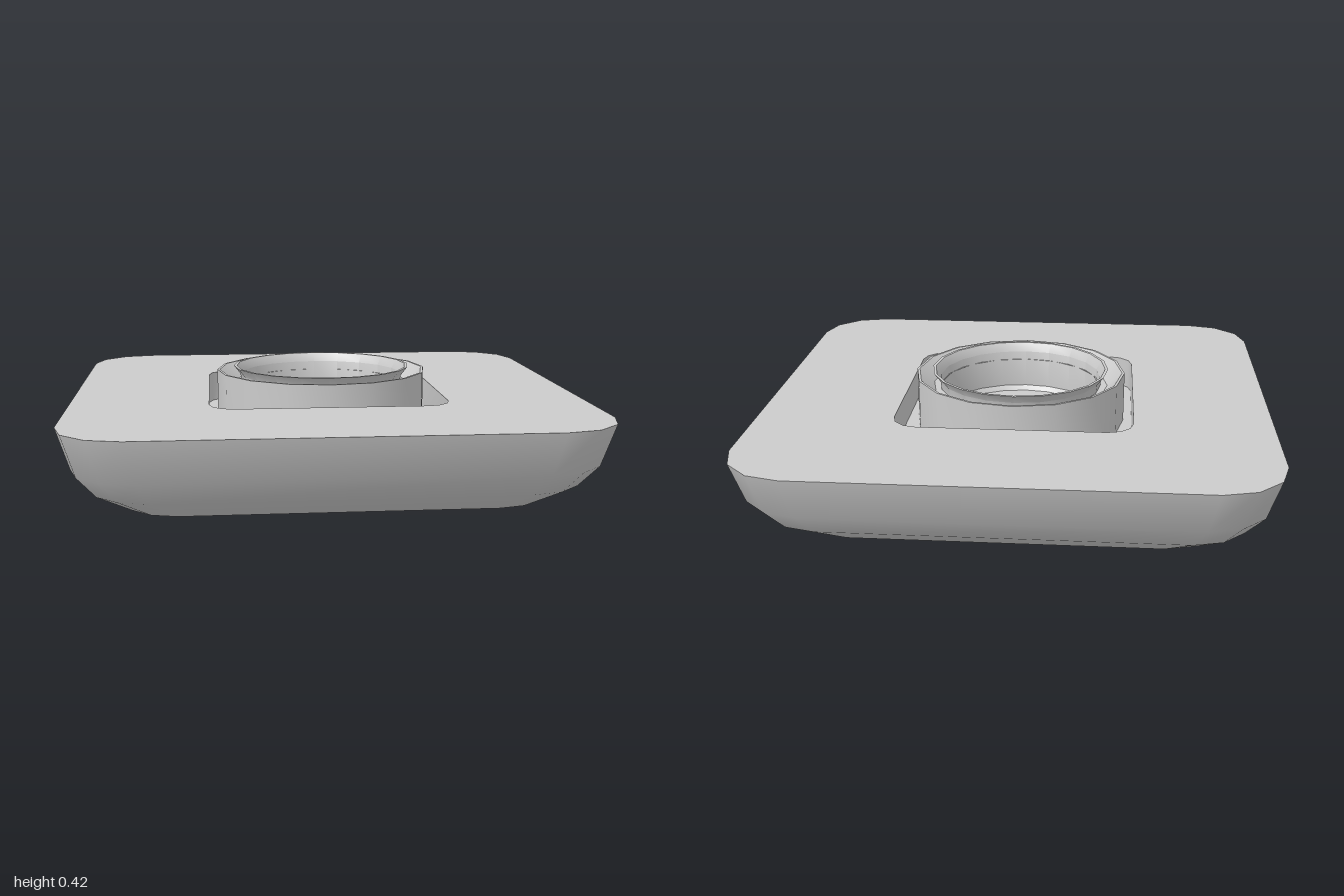
import * as THREE from 'three';
import { toCreasedNormals } from 'three/addons/utils/BufferGeometryUtils.js';

const material = new THREE.MeshStandardMaterial({ color: 0xcccccc });

// Points of a square with rounded corners, in the x-z plane
function roundedSquare(half, radius, y) {
  const points = [];
  const c = half - radius;
  for (let q = 0; q < 4; q++) {
    const mid = Math.PI / 4 + q * Math.PI / 2;
    const cx = c * Math.sign(Math.cos(mid)), cz = c * Math.sign(Math.sin(mid));
    for (let k = 0; k <= 3; k++) {
      const a = q * Math.PI / 2 + k * Math.PI / 6;
      points.push([cx + radius * Math.cos(a), y, cz + radius * Math.sin(a)]);
    }
  }
  return points;
}

// Skin over rounded squares given as [half, corner radius, y]
function loft(sections, crease) {
  const n = 16, index = [];
  const position = sections.flatMap((s) => roundedSquare(...s)).flat();
  for (let i = 0; i < sections.length - 1; i++) {
    for (let j = 0; j < n; j++) {
      const a = i * n + j, b = i * n + (j + 1) % n;
      index.push(a, a + n, b, b, a + n, b + n);
    }
  }
  const geo = new THREE.BufferGeometry();
  geo.setAttribute('position', new THREE.Float32BufferAttribute(position, 3));
  geo.setIndex(index);
  geo.computeVertexNormals();
  return toCreasedNormals(geo, crease);
}

function turned(profile, sides) {
  const points = profile.map(([r, y]) => new THREE.Vector2(r, y));
  return toCreasedNormals(new THREE.LatheGeometry(points, sides), 0.6);
}

export function createModel() {
  const group = new THREE.Group();
  const add = (name, geometry) => {
    const mesh = new THREE.Mesh(geometry, material);
    mesh.name = name;
    group.add(mesh);
  };

  // Curved sides of the shallow tray
  add('bodySides', loft([
    [0.77, 0.19, 0], [0.89, 0.22, 0.08], [0.955, 0.24, 0.165], [1, 0.25, 0.325],
  ], 0.7));

  // Flat top with the square recess around the collar
  add('topDeck', loft([
    [1, 0.25, 0.325], [0.465, 0.1, 0.325], [0.465, 0.1, 0.2], [0.4, 0.39, 0.2],
  ], 0.6));

  // Sunken underside panel, stepped up from the bottom rim
  add('undersidePanel', loft([
    [0.4, 0.39, 0.1], [0.68, 0.12, 0.1], [0.7, 0.13, 0.09],
    [0.71, 0.14, 0.05], [0.73, 0.15, 0.045], [0.74, 0.17, 0], [0.77, 0.19, 0],
  ], 0.6));

  // Collar through the body, with a sloping mouth and closed underside
  add('collar', turned([
    [0, 0.19], [0.34, 0.19], [0.34, 0.08], [0.43, 0.08], [0.43, 0.405],
    [0.42, 0.405], [0.36, 0.35], [0.325, 0.35],
  ], 16));

  // Inner cup with a flared lip
  add('innerCup', turned([
    [0.33, 0.34], [0.335, 0.385], [0.362, 0.42], [0.35, 0.42],
    [0.328, 0.385], [0.325, 0.23], [0.31, 0.21], [0, 0.21],
  ], 20));

  return group;
}
